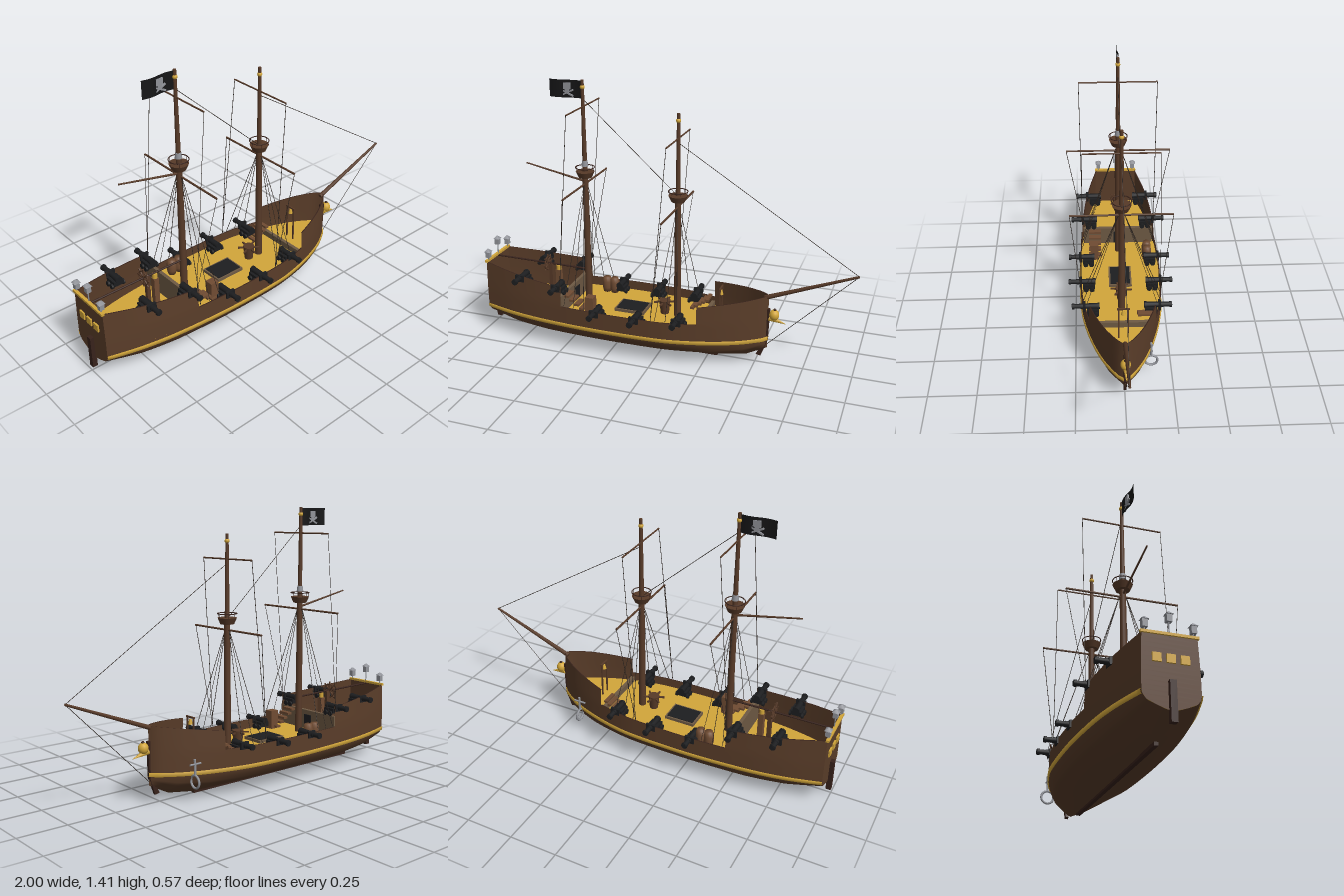
import * as THREE from 'three';

const mat = (name, color, side = THREE.FrontSide) => Object.assign(new THREE.MeshStandardMaterial({ color, side }), { name });
const wood = mat('hull wood', 0x5a3d29, THREE.DoubleSide);
const spar = mat('spar wood', 0x573a28);
const dark = mat('dark wood', 0x38221b, THREE.DoubleSide);
const light = mat('stair wood', 0x704c33);
const weathered = mat('weathered wood', 0x6e5a44);
const gold = mat('gold', 0xd2a63a, THREE.DoubleSide);
const iron = mat('iron', 0x1d1e20);
const black = mat('black cloth', 0x161617, THREE.DoubleSide);
const grey = mat('grey metal', 0x92949a);
const rope = mat('rope', 0x2e2621);

const lerp = THREE.MathUtils.lerp, clamp = THREE.MathUtils.clamp;
const V = (x, y, z) => new THREE.Vector3(x, y, z);

// Hull rules: plan half-width, keel line and section with a soft chine
const plan = new THREE.SplineCurve([[-0.98, 0.125], [-0.8, 0.172], [-0.6, 0.202], [-0.3, 0.22], [0, 0.215], [0.15, 0.195],
  [0.3, 0.155], [0.42, 0.107], [0.5, 0.06], [0.54, 0.028], [0.56, 0]].map(p => new THREE.Vector2(...p))).getPoints(100);
const keelLine = [[-0.98, 0.075], [-0.8, 0.026], [-0.6, 0.008], [0.3, 0.008], [0.45, 0.032], [0.56, 0.09]].map(p => new THREE.Vector2(...p));
function lookup(pts, x) {
  let i = 1;
  while (i < pts.length - 1 && pts[i].x < x) i++;
  const a = pts[i - 1], b = pts[i];
  return lerp(a.y, b.y, clamp((x - a.x) / (b.x - a.x), 0, 1));
}
function halfWidth(x, y) {
  const b = lookup(keelLine, x);
  const f = clamp((y - b) / (0.15 - b), 0, 1);
  const fullness = f < 0.5 ? 0.83 * Math.pow(f * 2, 0.82) : 0.83 + 0.17 * Math.sin((f * 2 - 1) * Math.PI / 2);
  return Math.max(0, lookup(plan, x) * fullness * (1 - 0.3 * Math.max(0, y - 0.25)));
}

// Surface from a grid of points fn(u, v)
function grid(nu, nv, fn) {
  const pos = [], idx = [];
  for (let i = 0; i <= nu; i++) for (let j = 0; j <= nv; j++) {
    pos.push(...fn(i / nu, j / nv));
    const a = i * (nv + 1) + j, b = a + nv + 1;
    if (i < nu && j < nv) idx.push(a, b, a + 1, b, b + 1, a + 1);
  }
  const g = new THREE.BufferGeometry();
  g.setAttribute('position', new THREE.Float32BufferAttribute(pos, 3));
  g.setIndex(idx);
  g.computeVertexNormals();
  return g;
}

export function createModel() {
  const ship = new THREE.Group();
  ship.name = 'sailingShip';
  function add(name, geo, m, x = 0, y = 0, z = 0, parent = ship) {
    const mesh = new THREE.Mesh(geo, m);
    mesh.name = name;
    mesh.position.set(x, y, z);
    parent.add(mesh);
    return mesh;
  }
  const box = (name, m, w, h, d, x, y, z, parent) => add(name, new THREE.BoxGeometry(w, h, d), m, x, y, z, parent);
  const cyl = (name, m, r1, r0, h, x, y, z, parent, n = 14) => add(name, new THREE.CylinderGeometry(r1, r0, h, n), m, x, y, z, parent);
  const ball = (name, m, r, x, y, z, parent) => add(name, new THREE.SphereGeometry(r, 16, 10), m, x, y, z, parent);
  function rod(name, m, a, b, r0, r1 = r0, n = 8, parent = ship) {
    const d = b.clone().sub(a);
    const mesh = cyl(name, m, r1, r0, d.length(), ...a.clone().add(b).multiplyScalar(0.5).toArray(), parent, n);
    mesh.quaternion.setFromUnitVectors(V(0, 1, 0), d.normalize());
    return mesh;
  }
  const line = (name, a, b) => rod(name, rope, a, b, 0.0015, 0.0015, 4);

  // Hull sides in three lengths with stepped rails
  const sections = [
    ['stern', -0.98, -0.5, x => 0.355 + 0.045 * Math.pow((-0.5 - x) / 0.48, 1.3)],
    ['waist', -0.5, 0.23, () => 0.247],
    ['bow', 0.23, 0.56, x => 0.34 + 0.045 * (x - 0.23) / 0.33]];
  for (const [name, x0, x1, rail] of sections) for (const s of [1, -1]) {
    add(name + 'HullSide', grid(32, 20, (u, v) => {
      const x = lerp(x0, x1, u);
      const y = v < 0.6 ? lerp(lookup(keelLine, x), 0.15, v / 0.6) : lerp(0.15, rail(x), (v - 0.6) / 0.4);
      return [x, y, s * halfWidth(x, y)];
    }), wood);
    add(name + 'RailCap', grid(32, 1, (u, v) => {
      const x = lerp(x0, x1, u), y = rail(x);
      return [x, y, s * Math.max(0, halfWidth(x, y) - v * 0.006)];
    }), dark);
  }
  // Decks: the stern floor lies a little lower
  for (const [name, x0, x1, y] of [['sternDeck', -0.98, -0.51, 0.17], ['mainDeck', -0.51, 0.56, 0.195]]) add(name, grid(40, 1, (u, v) => {
    const x = lerp(x0, x1, u);
    return [x, y, (v * 2 - 1) * halfWidth(x, y)];
  }), gold);
  add('transom', grid(16, 1, (u, v) => {
    const y = lerp(0.075, 0.4, u);
    return [-0.98, y, (v * 2 - 1) * halfWidth(-0.98, y)];
  }), wood);

  // Cabin front with door, and low beam before the bow
  box('cabinFront', weathered, 0.018, 0.135, halfWidth(-0.51, 0.25) * 2 - 0.02, -0.51, 0.2325, 0);
  box('cabinDoor', iron, 0.008, 0.075, 0.05, -0.5, 0.238, 0);
  box('bowBeam', weathered, 0.018, 0.035, halfWidth(0.23, 0.2) * 2 - 0.02, 0.225, 0.21, 0);

  // Gold stripe, stern trim, keel, stem and rudder
  for (const s of [1, -1]) add('goldStripe', grid(60, 3, (u, v) => {
    const x = lerp(-0.98, 0.56, u), out = v > 0.1 && v < 0.9 ? 0.006 : -0.002;
    const y = v < 0.5 ? 0.136 : 0.155;
    return [x + (u > 0.98 ? 0.004 : 0), y, s * (halfWidth(x, y) + out)];
  }), gold);
  box('sternRail', gold, 0.016, 0.012, 0.25, -0.98, 0.402, 0);
  for (const z of [-0.06, 0, 0.06]) box('sternWindow', gold, 0.008, 0.038, 0.038, -0.985, 0.295, z);
  box('keel', dark, 1.1, 0.016, 0.02, -0.25, 0.008, 0);
  box('rudder', dark, 0.026, 0.175, 0.028, -0.987, 0.113, 0);
  const stem = new THREE.Shape([[0.545, 0.31], [0.568, 0.31], [0.562, 0.13], [0.53, 0.04], [0.505, 0.045], [0.54, 0.12]].map(p => new THREE.Vector2(...p)));
  add('stemPost', new THREE.ExtrudeGeometry(stem, { depth: 0.016, bevelEnabled: false }), dark, 0, 0, -0.008);

  // Figurehead
  ball('figureheadBody', gold, 0.026, 0.59, 0.28, 0).scale.set(1, 1.1, 1);
  ball('figureheadCap', dark, 0.008, 0.592, 0.308, 0);
  rod('figureheadBeak', gold, V(0.565, 0.262, 0), V(0.65, 0.238, 0), 0.018, 0.001);

  // Bowsprit and stays
  const tip = V(0.995, 0.55, 0);
  rod('bowsprit', spar, V(0.54, 0.37, 0), tip, 0.012, 0.006, 10);
  line('foreStay', tip, V(0.08, 1.13, 0));
  line('bobStay', tip, V(0.55, 0.1, 0));
  line('mainStay', V(-0.425, 1.31, 0), V(0.06, 0.87, 0));

  // Masts with tops, yards, shrouds and braces
  const masts = [
    { name: 'main', x: -0.43, top: 1.41, nest: 0.905, low: 0.87, lowHalf: 0.28, high: 1.275, highHalf: 0.203, foot: 0.34 },
    { name: 'fore', x: 0.075, top: 1.28, nest: 0.83, low: 0.8, lowHalf: 0.26, high: 1.155, highHalf: 0.188, foot: 0.25 }];
  for (const m of masts) {
    rod(m.name + 'LowerMast', spar, V(m.x, 0.19, 0), V(m.x, m.nest, 0), 0.019, 0.015, 14);
    rod(m.name + 'UpperMast', spar, V(m.x, m.nest, 0), V(m.x, m.top, 0), 0.013, 0.008, 12);
    ball(m.name + 'MastBall', gold, 0.0125, m.x, m.top - 0.036, 0);
    cyl(m.name + 'CrowsNest', spar, 0.049, 0.035, 0.032, m.x, m.nest + 0.016, 0, ship, 16);
    add(m.name + 'NestRail', new THREE.TorusGeometry(0.049, 0.0025, 6, 24), dark, m.x, m.nest + 0.053, 0).rotation.x = Math.PI / 2;
    for (let i = 0; i < 6; i++) {
      const a = i * Math.PI / 3;
      cyl('nestRailPost', dark, 0.001, 0.001, 0.024, m.x + 0.047 * Math.cos(a), m.nest + 0.042, 0.047 * Math.sin(a), ship, 5);
    }
    rod(m.name + 'LowerYard', spar, V(m.x, m.low, -m.lowHalf), V(m.x, m.low, m.lowHalf), 0.005);
    rod(m.name + 'UpperYard', spar, V(m.x, m.high, -m.highHalf), V(m.x, m.high, m.highHalf), 0.004);
    for (const s of [1, -1]) {
      for (const dx of [-0.055, 0, 0.06]) line('shroud', V(m.x, m.nest - 0.02, s * 0.012), V(m.x + dx, 0.25, s * (halfWidth(m.x + dx, 0.25) - 0.006)));
      const end = V(m.x - 0.075, m.foot, s * halfWidth(m.x - 0.075, m.foot));
      line('lowerBrace', V(m.x, m.low, s * m.lowHalf), end);
      line('upperBrace', V(m.x, m.high, s * m.highHalf), end);
    }
  }
  cyl('mastLantern', grey, 0.014, 0.018, 0.03, -0.43, 0.98, 0);
  rod('gaff', spar, V(-0.43, 0.882, 0), V(-0.765, 0.95, 0), 0.006, 0.004);
  rod('boom', dark, V(-0.43, 0.388, 0), V(-0.98, 0.393, 0), 0.005);

  // Flag with pale emblem on both faces
  const wave = x => 0.006 * Math.sin((x + 0.43) * 35);
  add('flag', grid(16, 1, (u, v) => {
    const x = lerp(-0.61, -0.435, u);
    return [x, lerp(1.315, 1.405, v), wave(x)];
  }), black);
  const emblem = new THREE.Group();
  emblem.name = 'flagEmblem';
  emblem.position.set(-0.515, 1.36, wave(-0.515));
  ship.add(emblem);
  box('emblemHead', grey, 0.038, 0.032, 0.009, 0, 0.014, 0, emblem);
  box('emblemJaw', grey, 0.022, 0.016, 0.009, 0, -0.008, 0, emblem);
  for (const s of [1, -1]) box('emblemBone', grey, 0.074, 0.008, 0.008, 0, -0.02, 0, emblem).rotation.z = s * 0.45;

  // Cannons along both sides
  for (const [x, y] of [[-0.75, 0.362], [-0.53, 0.348], [-0.31, 0.243], [-0.09, 0.243], [0.13, 0.257]]) for (const s of [1, -1]) {
    const gun = new THREE.Group();
    gun.name = 'cannon';
    gun.position.set(x, y, s * halfWidth(x, y));
    if (s < 0) gun.rotation.y = Math.PI;
    ship.add(gun);
    rod('cannonBarrel', iron, V(0, 0, -0.08), V(0, 0, 0.066), 0.016, 0.012, 12, gun);
    for (const [z, r] of [[0.058, 0.016], [0.015, 0.015], [-0.075, 0.018]]) rod('barrelRing', iron, V(0, 0, z - 0.006), V(0, 0, z + 0.006), r, r, 12, gun);
    box('gunPort', iron, 0.05, 0.036, 0.014, 0, -0.003, 0, gun);
    box('carriage', iron, 0.056, 0.026, 0.065, 0, -0.02, -0.045, gun);
    for (const wx of [-1, 1]) for (const z of [-0.062, -0.03]) rod('carriageWheel', iron, V(wx * 0.027, -0.033, z), V(wx * 0.038, -0.033, z), 0.014, 0.014, 10, gun);
  }

  // Stairs, hatch, barrels and capstan
  for (let i = 0; i < 5; i++) {
    box('aftStep', light, 0.028, 0.012, 0.07, -0.485 + i * 0.028, 0.29 - i * 0.02, 0.135);
    box('foreStep', light, 0.02, 0.012, 0.08, 0.21 - i * 0.02, 0.262 - i * 0.014, -0.12);
  }
  box('hatchFrame', weathered, 0.165, 0.016, 0.125, -0.175, 0.202, 0);
  box('hatchGrate', iron, 0.147, 0.02, 0.107, -0.175, 0.203, 0);
  const stave = [[0, 0], [0.02, 0], [0.026, 0.025], [0.026, 0.06], [0.02, 0.085], [0, 0.085]].map(p => new THREE.Vector2(...p));
  for (const x of [-0.39, -0.345]) add('barrel', new THREE.LatheGeometry(stave, 14), light, x, 0.195, -0.16);
  box('crate', light, 0.046, 0.1, 0.046, -0.36, 0.248, 0.14);
  cyl('capstan', spar, 0.03, 0.022, 0.075, 0.005, 0.235, 0);
  for (let i = 0; i < 3; i++) box('capstanBar', spar, 0.115, 0.008, 0.008, 0.005, 0.262, 0).rotation.y = i * Math.PI / 3 + 0.4;

  // Steering wheel, binnacle and bell
  box('wheelPost', spar, 0.02, 0.22, 0.02, -0.65, 0.28, 0);
  add('wheelRim', new THREE.TorusGeometry(0.036, 0.004, 6, 24), spar, -0.67, 0.39, 0).rotation.y = Math.PI / 2;
  for (let i = 0; i < 4; i++) box('wheelSpoke', spar, 0.006, 0.1, 0.006, -0.67, 0.39, 0).rotation.x = i * Math.PI / 4;
  box('binnacle', light, 0.028, 0.19, 0.028, -0.605, 0.265, 0);
  cyl('compass', gold, 0.013, 0.013, 0.026, -0.605, 0.373, 0);
  for (const s of [1, -1]) box('bellPost', spar, 0.007, 0.195, 0.007, 0.31, 0.2925, s * 0.024);
  box('bellBeam', spar, 0.008, 0.008, 0.064, 0.31, 0.388, 0);
  cyl('bell', gold, 0.006, 0.012, 0.026, 0.31, 0.365, 0);

  // Stern lanterns
  for (const [y, z] of [[0.422, 0.105], [0.46, 0], [0.422, -0.105]]) {
    cyl('lanternPost', grey, 0.003, 0.003, y - 0.4, -0.975, (y + 0.4) / 2, z, ship, 6);
    box('lanternGlass', grey, 0.024, 0.034, 0.024, -0.975, y + 0.017, z);
    cyl('lanternRoof', grey, 0.003, 0.024, 0.016, -0.975, y + 0.041, z, ship, 4).rotation.y = Math.PI / 4;
  }

  // Anchor
  add('anchorRing', new THREE.TorusGeometry(0.032, 0.006, 8, 24), grey, 0.39, 0.108, -0.14).rotation.y = Math.PI / 2;
  rod('anchorShank', grey, V(0.39, 0.14, -0.14), V(0.39, 0.22, -0.14), 0.006);
  rod('anchorStock', grey, V(0.355, 0.195, -0.14), V(0.42, 0.195, -0.14), 0.005);
  return ship;
}
